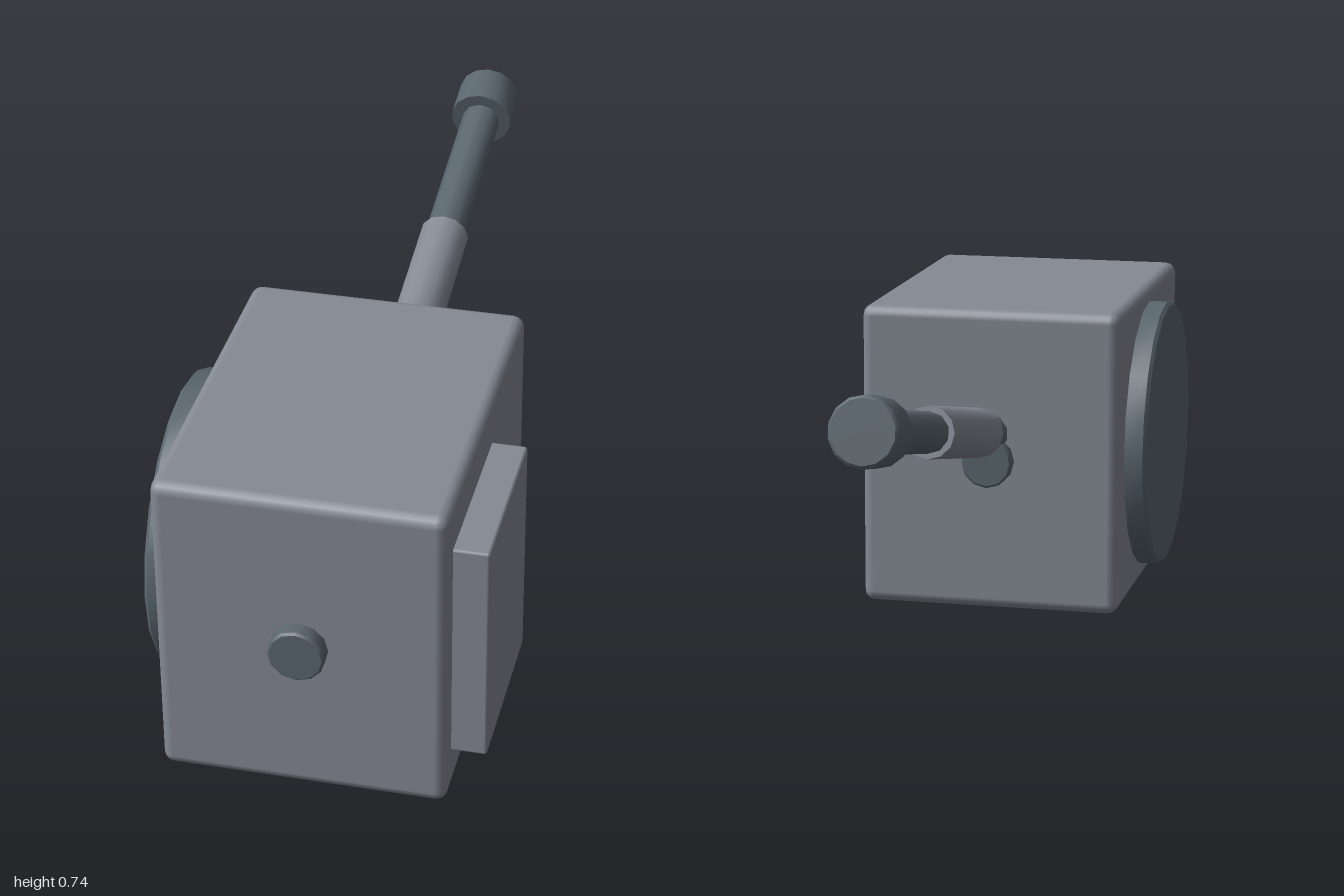
import * as THREE from 'three';
import { toCreasedNormals } from 'three/addons/utils/BufferGeometryUtils.js';
import { RoundedBoxGeometry } from 'three/addons/geometries/RoundedBoxGeometry.js';

const CX = -0.012; // centre line of body, knobs and arm

export function createModel() {
  const model = new THREE.Group();
  const lightGrey = new THREE.MeshStandardMaterial({ name: 'lightGrey', color: 0x858a94 });
  const darkGrey = new THREE.MeshStandardMaterial({ name: 'darkGrey', color: 0x5a666e });

  const add = (name, geometry, material, x, y, z, parent = model) => {
    const mesh = new THREE.Mesh(geometry, material);
    mesh.name = name;
    mesh.position.set(x, y, z);
    parent.add(mesh);
    return mesh;
  };

  // Solid disc along +y from 0 to h, with a bevelled far rim
  const bevelled = (r, h, bevel, sides) => toCreasedNormals(new THREE.LatheGeometry([
    new THREE.Vector2(0, 0), new THREE.Vector2(r, 0), new THREE.Vector2(r, h - bevel),
    new THREE.Vector2(r - bevel, h), new THREE.Vector2(0, h),
  ], sides), 0.6);

  // Box body and side plate
  add('body', new RoundedBoxGeometry(0.615, 0.718, 0.82, 2, 0.025), lightGrey, CX, 0.362, 0.555);
  add('sidePlate', new RoundedBoxGeometry(0.1, 0.512, 0.402, 1, 0.006), lightGrey, 0.321, 0.363, 0.711);

  // Large round disc on the right side
  const disc = add('sideDisc', bevelled(0.323, 0.055, 0.008, 20), darkGrey, -0.316, 0.363, 0.552);
  disc.rotation.z = Math.PI / 2;

  // Knobs on the front and back faces
  const frontKnob = add('frontKnob', bevelled(0.061, 0.045, 0.005, 12), darkGrey, CX, 0.364, 0.955);
  frontKnob.rotation.x = Math.PI / 2;
  const backKnob = add('backKnob', bevelled(0.061, 0.045, 0.005, 12), darkGrey, CX, 0.364, 0.16);
  backKnob.rotation.x = -Math.PI / 2;

  // Arm rising towards the back; its local +y runs along the arm
  const arm = new THREE.Group();
  arm.name = 'arm';
  arm.position.set(CX, 0.43, 0.145);
  arm.rotation.x = -Math.PI / 2 + 0.21;
  model.add(arm);
  const tube = (name, r, from, to, sides, material) => add(name,
    toCreasedNormals(new THREE.CylinderGeometry(r, r, to - from, sides), 0.9),
    material, 0, (from + to) / 2, 0, arm);
  tube('armRod', 0.046, -0.03, 1.06, 10, darkGrey);
  tube('armSleeve', 0.058, 0.105, 0.6, 12, lightGrey);
  add('armCap', bevelled(0.074, 0.113, 0.006, 14), darkGrey, 0, 1.041, 0, arm);

  return model;
}
